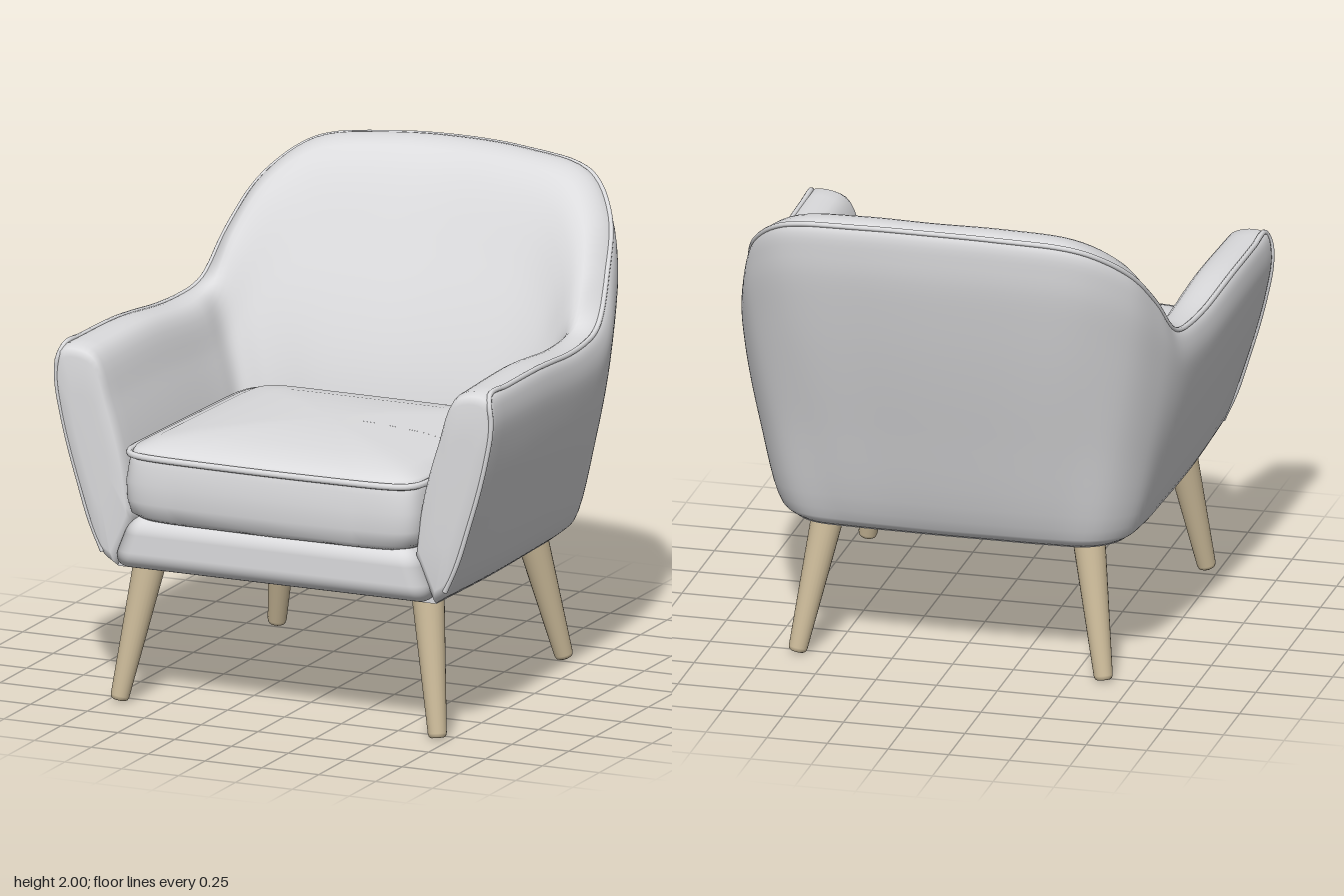
import * as THREE from 'three';
import { mergeVertices } from 'three/addons/utils/BufferGeometryUtils.js';
import { RoundedBoxGeometry } from 'three/addons/geometries/RoundedBoxGeometry.js';

const V = (x, y, z) => new THREE.Vector3(x, y, z);

// Smooth surface through a grid of points; faces look along (row step) x (column step)
function loft(rows) {
  const n = rows[0].length, index = [];
  for (let i = 0; i < rows.length - 1; i++) {
    for (let j = 0; j < n - 1; j++) {
      const a = i * n + j, b = a + n;
      index.push(a, b, a + 1, b, b + 1, a + 1);
    }
  }
  const flat = new THREE.BufferGeometry();
  flat.setAttribute('position', new THREE.Float32BufferAttribute(rows.flat().flatMap(p => p.toArray()), 3));
  flat.setIndex(index);
  const geo = mergeVertices(flat, 1e-5);
  geo.computeVertexNormals();
  return geo;
}

// Shell stations from arm front to middle of the back:
// bottom x z, outer rim x y z, inner rim x y z, inner foot x z
const STATIONS = [
  [0.75, 0.82, 0.935, 1.45, 0.82, 0.80, 1.435, 0.82, 0.62, 0.82],
  [0.76, 0.35, 0.925, 1.445, 0.35, 0.79, 1.44, 0.35, 0.62, 0.35],
  [0.75, -0.08, 0.895, 1.415, -0.10, 0.78, 1.41, -0.10, 0.61, -0.08],
  [0.74, -0.30, 0.87, 1.45, -0.34, 0.79, 1.45, -0.27, 0.59, -0.19],
  [0.71, -0.46, 0.835, 1.62, -0.50, 0.77, 1.62, -0.41, 0.50, -0.21],
  [0.61, -0.56, 0.765, 1.80, -0.68, 0.70, 1.80, -0.56, 0.42, -0.21],
  [0.43, -0.59, 0.60, 1.935, -0.84, 0.55, 1.925, -0.69, 0.32, -0.20],
  [0.20, -0.60, 0.30, 1.975, -0.905, 0.28, 1.965, -0.75, 0.16, -0.20],
  [0, -0.605, 0, 1.985, -0.925, 0, 1.97, -0.77, 0, -0.20],
];

const STEP = 6;       // samples between section control points
const RIM = 5 * STEP; // column of the outer rim

// Closed cross-section of the shell: up the outside, over the rim, down the inside
function section([bx, bz, rx, ry, rz, ix, iy, iz, jx, jz]) {
  const out = V(rx - bx, 0, rz - bz).normalize();
  const bottom = V(bx, 0.605, bz), rim = V(rx, ry, rz);
  const outer = (t, bulge) => bottom.clone().lerp(rim, t).addScaledVector(out, bulge);
  const inner = (t, f) => V(ix + (jx - ix) * f, iy + (0.75 - iy) * t, iz + (jz - iz) * f);
  const pts = [
    bottom.clone().addScaledVector(out, -0.05).setY(0.565), bottom,
    outer(0.35, 0.045), outer(0.7, 0.06), outer(0.9, 0.045), rim,
    V(ix, iy, iz), inner(0.3, 0.45), inner(0.65, 0.82), V(jx, 0.75, jz),
  ];
  const loop = new THREE.CatmullRomCurve3(pts).getPoints((pts.length - 1) * STEP);
  return [...loop, loop[0].clone()];
}

const mirror = row => row.map(p => V(-p.x, p.y, p.z));

function shellRows() {
  const half = STATIONS.map(section);
  const all = [...half, ...half.slice(0, -1).reverse().map(mirror)];
  const along = all[0].map((_, j) => new THREE.CatmullRomCurve3(all.map(r => r[j])).getPoints((all.length - 1) * 6));
  return along[0].map((_, i) => along.map(c => c[i]));
}

// Rounded closing rows for the front of an arm
function armFront(row) {
  const c = V(0, 0, 0);
  row.forEach(p => c.addScaledVector(p, 1 / row.length));
  return [[0, 0.868], [0.5, 0.868], [0.88, 0.866], [0.96, 0.852]].map(([s, z]) =>
    row.map(p => V(c.x + (p.x - c.x) * s, c.y + (p.y - c.y) * s, z)));
}

// Soft rectangle used by the seat cushion
function cushionRing(s, y) {
  const pts = [], pw = v => Math.sign(v) * Math.abs(v) ** 0.18;
  for (let k = 0; k <= 128; k++) {
    const a = (k / 128) * Math.PI * 2;
    const u = pw(Math.cos(a)), w = pw(-Math.sin(a));
    const bow = w > 0 ? 0.02 * w * (1 - u * u) : 0;
    pts.push(V(u * s * (0.635 + 0.025 * w), y, 0.335 + s * (w * 0.59 + bow)));
  }
  return pts;
}

export function createModel() {
  const fabric = new THREE.MeshStandardMaterial({ color: 0xdbdbdd });
  fabric.name = 'light grey fabric';
  const wood = new THREE.MeshStandardMaterial({ color: 0xcbba99 });
  wood.name = 'pale wood';

  const chair = new THREE.Group();
  chair.name = 'armchair';
  const add = (name, geo, mat) => {
    const mesh = new THREE.Mesh(geo, mat);
    mesh.name = name;
    chair.add(mesh);
    return mesh;
  };

  // Arms and back in one wrapped shell
  const rows = shellRows();
  const cap = armFront(rows[0]);
  add('armsAndBack', loft([...cap, ...rows, ...cap.map(mirror).reverse()]), fabric);

  // Piping up the arm fronts and along the whole rim
  const front = cap[cap.length - 1].slice(STEP, RIM).filter((_, j) => j % 3 === 0);
  const rim = rows.filter((_, i) => i % 2 === 0).map(r => r[RIM]);
  const seam = new THREE.CatmullRomCurve3([...front, ...rim, ...mirror(front).reverse()]);
  add('rimPiping', new THREE.TubeGeometry(seam, 300, 0.011, 8), fabric);

  // Seat base closing the underside
  const edge = rows.map(r => new THREE.Vector2(r[0].x, -r[0].z));
  const base = new THREE.ExtrudeGeometry(new THREE.Shape(edge), { depth: 0.2, bevelEnabled: false });
  base.rotateX(-Math.PI / 2);
  add('seatBase', base, fabric).position.y = 0.562;

  // Padded rail under the cushion, wider towards the floor
  const rail = new RoundedBoxGeometry(1.34, 0.225, 0.2, 8, 0.075);
  const pos = rail.attributes.position;
  for (let i = 0; i < pos.count; i++) pos.setX(i, pos.getX(i) * (1 - 0.6 * pos.getY(i)));
  add('frontRail', rail, fabric).position.set(0, 0.682, 0.808);

  // Domed seat cushion with piping
  const profile = [[0, 0.78], [0.93, 0.78], [0.98, 0.805], [1, 0.86], [1.005, 0.94], [0.99, 1.01],
    [0.98, 1.045], [0.96, 1.07], [0.85, 1.098], [0.65, 1.12], [0.35, 1.135], [0, 1.14]];
  const rings = profile.map(([s, y]) => cushionRing(s, y));
  add('seatCushion', loft(rings[0].map((_, k) => rings.map(r => r[k]))), fabric);
  const piping = new THREE.CatmullRomCurve3(cushionRing(0.99, 1.05).slice(0, -1), true);
  add('cushionPiping', new THREE.TubeGeometry(piping, 256, 0.014, 8, true), fabric);

  // Splayed tapered legs with softened feet
  const leg = (name, top, foot) => {
    const axis = top.clone().sub(foot);
    const outline = [[0, 0], [0.026, 0], [0.034, 0.005], [0.038, 0.018], [0.068, axis.length()]];
    const mesh = add(name, new THREE.LatheGeometry(outline.map(p => new THREE.Vector2(...p)), 24), wood);
    mesh.position.copy(foot);
    mesh.quaternion.setFromUnitVectors(V(0, 1, 0), axis.normalize());
  };
  for (const [side, s] of [['Left', 1], ['Right', -1]]) {
    leg('front' + side + 'Leg', V(s * 0.605, 0.6, 0.7), V(s * 0.7, 0.007, 0.808));
    leg('back' + side + 'Leg', V(s * 0.53, 0.6, -0.4), V(s * 0.632, 0.007, -0.535));
  }
  return chair;
}
